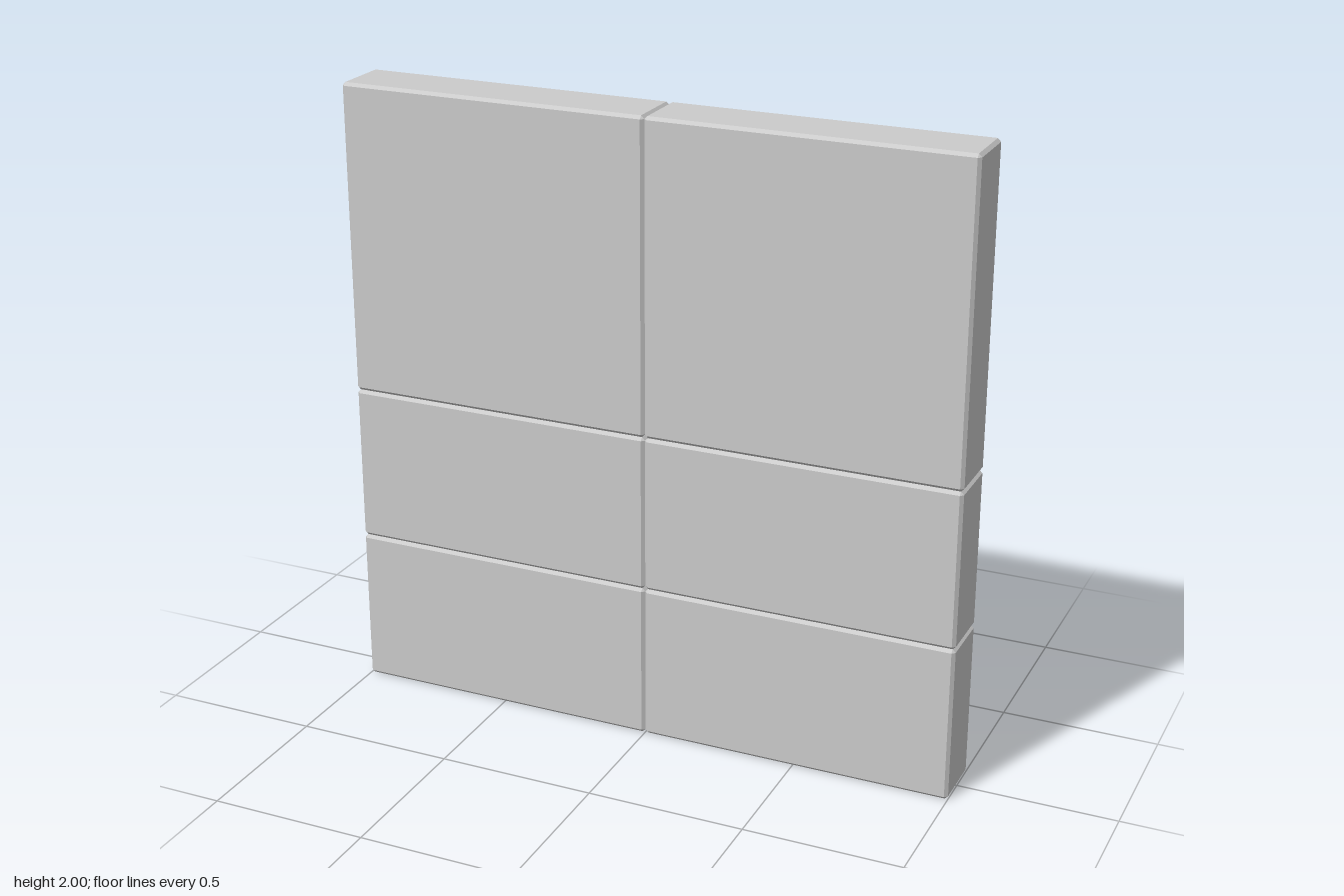
import * as THREE from 'three';
import { ConvexGeometry } from 'three/addons/geometries/ConvexGeometry.js';

const DEPTH = 0.197;
const CHAMFER = 0.01;

// Box with every edge cut at 45 degrees: the hull of its six inset faces
function chamferedBox(w, h, d, c) {
  const half = [w / 2, h / 2, d / 2];
  const points = [];
  for (let axis = 0; axis < 3; axis++) {
    for (const sx of [-1, 1]) for (const sy of [-1, 1]) for (const sz of [-1, 1]) {
      const p = [sx, sy, sz].map((s, i) => s * (half[i] - (i === axis ? 0 : c)));
      points.push(new THREE.Vector3(...p));
    }
  }
  return new ConvexGeometry(points);
}

export function createModel() {
  const group = new THREE.Group();
  group.name = 'panelWall';
  const material = new THREE.MeshStandardMaterial({ color: 0xcccccc, flatShading: true });

  // Two half-height rows below one full-height row
  const rows = [
    { name: 'lowerPanel', bottom: 0, top: 0.504 },
    { name: 'middlePanel', bottom: 0.504, top: 1.008 },
    { name: 'upperPanel', bottom: 1.008, top: 2 },
  ];
  for (const { name, bottom, top } of rows) {
    const geometry = chamferedBox(1, top - bottom, DEPTH, CHAMFER);
    // Left and right panel of the row
    for (const side of [-1, 1]) {
      const panel = new THREE.Mesh(geometry, material);
      panel.name = name + (side > 0 ? 'Left' : 'Right');
      panel.position.set(side * 0.5, (bottom + top) / 2, 0);
      group.add(panel);
    }
  }
  return group;
}
